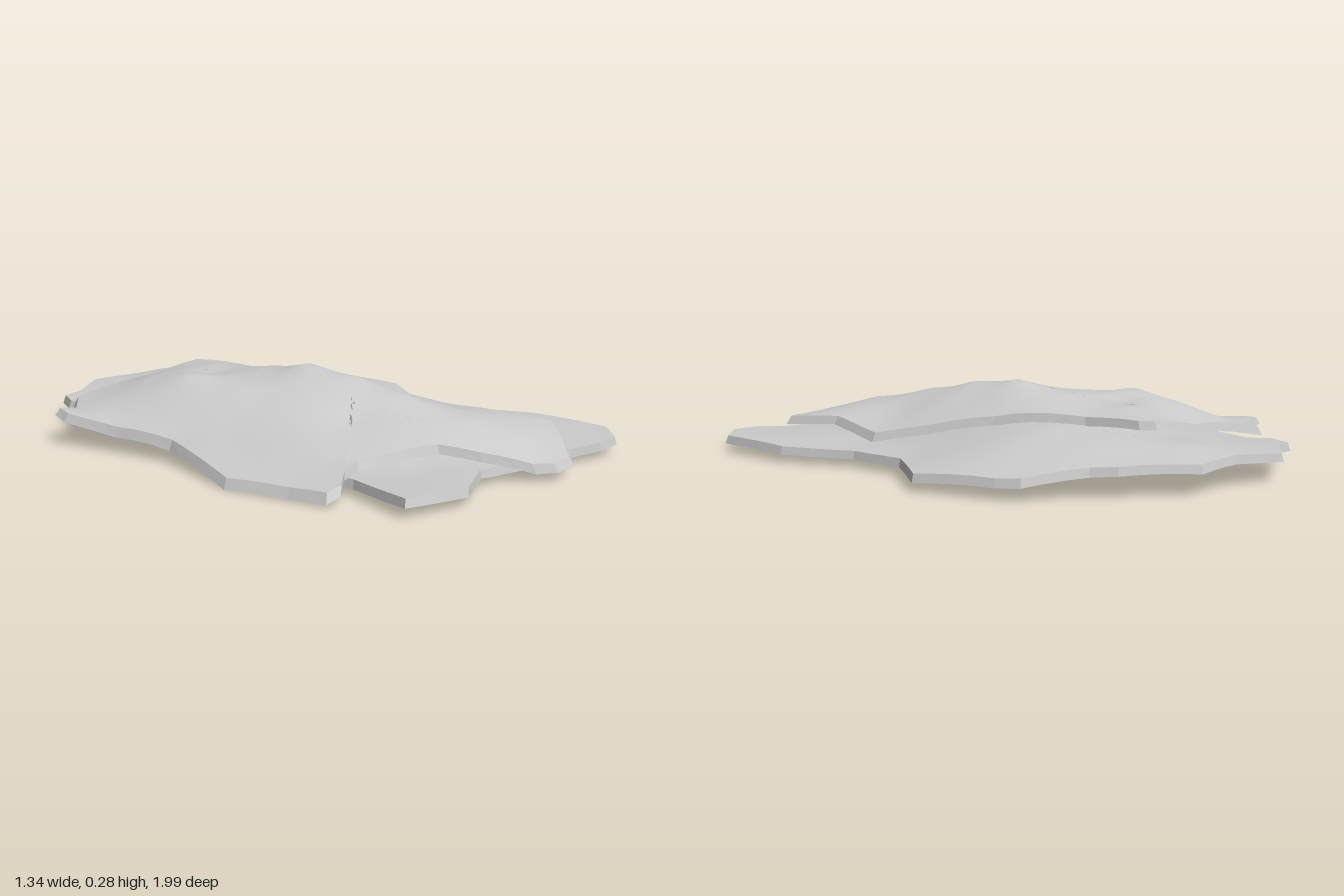
import * as THREE from 'three';

// Smooth height field through [x, z, y] control points (radial basis, linear kernel)
function heightField(points) {
  const n = points.length;
  const dist = (x, z, p) => Math.hypot(x - p[0], z - p[1]);
  const m = points.map(p => [...points.map(q => dist(p[0], p[1], q)), 1, p[2]]);
  m.push([...points.map(() => 1), 0, 0]);
  for (let c = 0; c <= n; c++) {
    let best = c;
    for (let r = c + 1; r <= n; r++) if (Math.abs(m[r][c]) > Math.abs(m[best][c])) best = r;
    [m[c], m[best]] = [m[best], m[c]];
    for (let r = 0; r <= n; r++) {
      if (r === c) continue;
      const f = m[r][c] / m[c][c];
      if (f) for (let k = c; k <= n + 1; k++) m[r][k] -= f * m[c][k];
    }
  }
  const w = m.map((row, i) => row[n + 1] / row[i]);
  return (x, z) => points.reduce((s, p, i) => s + w[i] * dist(x, z, p), w[n]);
}

// Thick draped sheet: nested loops shrink from the outline to a short spine
function sheet(name, outline, inner, spineX, thickness, inset) {
  const height = heightField([...outline, ...inner]);
  const loop = [];
  outline.forEach((p, i) => {
    const q = outline[(i + 1) % outline.length];
    const steps = Math.max(1, Math.round(Math.hypot(q[0] - p[0], q[1] - p[1]) / 0.07));
    for (let k = 0; k < steps; k++) {
      const t = k / steps;
      loop.push([p[0] + (q[0] - p[0]) * t, p[1] + (q[1] - p[1]) * t]);
    }
  });
  const n = loop.length, rings = 14;
  const surface = (shrink, drop, flip) => {
    const pos = [], idx = [];
    for (let r = 0; r <= rings; r++) {
      const t = shrink + (1 - shrink) * r / rings;
      for (const [x, z] of loop) {
        const px = x + (spineX - x) * t, pz = z * (1 - 0.5 * t);
        pos.push(px, height(px, pz) - drop, pz);
      }
    }
    for (let r = 0; r < rings; r++) for (let i = 0; i < n; i++) {
      const a = r * n + i, b = r * n + (i + 1) % n, c = a + n, d = b + n;
      idx.push(...(flip ? [a, b, c, b, d, c] : [a, c, b, b, c, d]));
    }
    return { pos, idx };
  };
  const top = surface(inset, 0, false), bottom = surface(0, thickness, true);
  // Rim between the two outer loops
  const rim = { pos: [...top.pos.slice(0, n * 3), ...bottom.pos.slice(0, n * 3)], idx: [] };
  for (let i = 0; i < n; i++) {
    const j = (i + 1) % n;
    rim.idx.push(i, j, n + i, j, n + j, n + i);
  }
  const group = new THREE.Group();
  group.name = name;
  const add = (part, data, flat) => {
    const g = new THREE.BufferGeometry();
    g.setAttribute('position', new THREE.Float32BufferAttribute(data.pos, 3));
    g.setIndex(data.idx);
    g.computeVertexNormals();
    const mesh = new THREE.Mesh(g, new THREE.MeshStandardMaterial({
      color: 0xcccccc, flatShading: flat, side: THREE.DoubleSide }));
    mesh.name = name + part;
    group.add(mesh);
  };
  add('Top', top, false);
  add('Underside', bottom, false);
  add('Rim', rim, true);
  return group;
}

export function createModel() {
  const model = new THREE.Group();
  model.name = 'layeredSheets';

  // Outlines run from the back towards +x, each point is [x, z, y]
  const upperOutline = [
    [-0.48, -0.78, 0.12], [-0.34, -0.73, 0.15], [-0.16, -0.68, 0.165], [0.03, -0.63, 0.2],
    [0.06, -0.58, 0.2], [0.09, -0.38, 0.195], [0.21, -0.07, 0.18], [0.31, 0.15, 0.14],
    [0.4, 0.35, 0.1], [0.34, 0.6, 0.13], [0.39, 0.81, 0.115], [0.28, 0.91, 0.09],
    [0.18, 0.99, 0.065], [0.09, 0.98, 0.06], [0.03, 0.93, 0.06], [-0.08, 0.79, 0.1],
    [-0.16, 0.67, 0.125], [-0.26, 0.6, 0.115], [-0.41, 0.52, 0.1], [-0.48, 0.52, 0.085],
    [-0.55, 0.56, 0.06], [-0.6, 0.54, 0.04], [-0.62, 0.4, 0.033], [-0.67, 0.17, 0.03],
    [-0.58, -0.17, 0.075], [-0.62, -0.4, 0.09], [-0.67, -0.62, 0.12], [-0.65, -0.69, 0.13],
    [-0.58, -0.68, 0.11],
  ];
  // Main ridge, side ridge and the valley between them
  const upperInner = [
    [0.1, 0.8, 0.12], [0.06, 0.65, 0.165], [0.02, 0.4, 0.22], [0, 0.2, 0.262], [-0.02, 0, 0.285],
    [-0.03, -0.2, 0.245], [-0.04, -0.45, 0.22], [-0.12, -0.1, 0.245], [-0.18, -0.35, 0.21],
    [-0.3, -0.34, 0.255], [-0.31, -0.52, 0.215], [-0.31, -0.12, 0.215], [-0.32, 0.15, 0.17],
    [-0.2, 0.35, 0.16], [-0.42, 0.3, 0.12], [-0.45, 0, 0.125], [-0.45, -0.4, 0.17],
    [0.12, 0.1, 0.21], [0.22, 0.4, 0.14],
  ];
  model.add(sheet('upperSheet', upperOutline, upperInner, -0.1, 0.03, 0.03));

  const lowerOutline = [
    [-0.46, -0.84, 0.09], [-0.42, -0.92, 0.09], [-0.34, -0.92, 0.095], [-0.19, -1, 0.1],
    [-0.02, -0.91, 0.11], [0.16, -0.88, 0.105], [0.35, -0.68, 0.105], [0.4, -0.6, 0.1],
    [0.57, -0.45, 0.075], [0.6, -0.37, 0.07], [0.67, -0.08, 0.06], [0.52, 0.11, 0.06],
    [0.52, 0.33, 0.06], [0.62, 0.6, 0.06], [0.61, 0.91, 0.062], [0.51, 0.99, 0.062],
    [0.41, 0.98, 0.06], [0.3, 0.92, 0.05], [0.1, 0.86, 0.045], [-0.08, 0.82, 0.055],
    [-0.12, 0.81, 0.06], [-0.31, 0.88, 0.062], [-0.53, 0.79, 0.065], [-0.46, 0.54, 0.055],
    [-0.45, 0.2, 0.05], [-0.44, -0.2, 0.07], [-0.43, -0.77, 0.085],
  ];
  const lowerInner = [
    [0.27, -0.28, 0.16], [0.12, -0.45, 0.16], [0.42, -0.22, 0.12], [0.33, 0, 0.115],
    [0.12, 0.1, 0.135], [0, 0, 0.18], [0, 0.4, 0.12], [0, -0.3, 0.175], [-0.1, -0.6, 0.13],
    [0.02, -0.75, 0.135], [0.3, 0.35, 0.065], [0.25, 0.65, 0.065], [0.48, 0.7, 0.07],
    [-0.28, -0.3, 0.15], [-0.3, 0.3, 0.08], [-0.25, 0.65, 0.06], [0.25, -0.55, 0.14],
  ];
  model.add(sheet('lowerSheet', lowerOutline, lowerInner, 0.1, 0.03, 0.015));
  return model;
}
